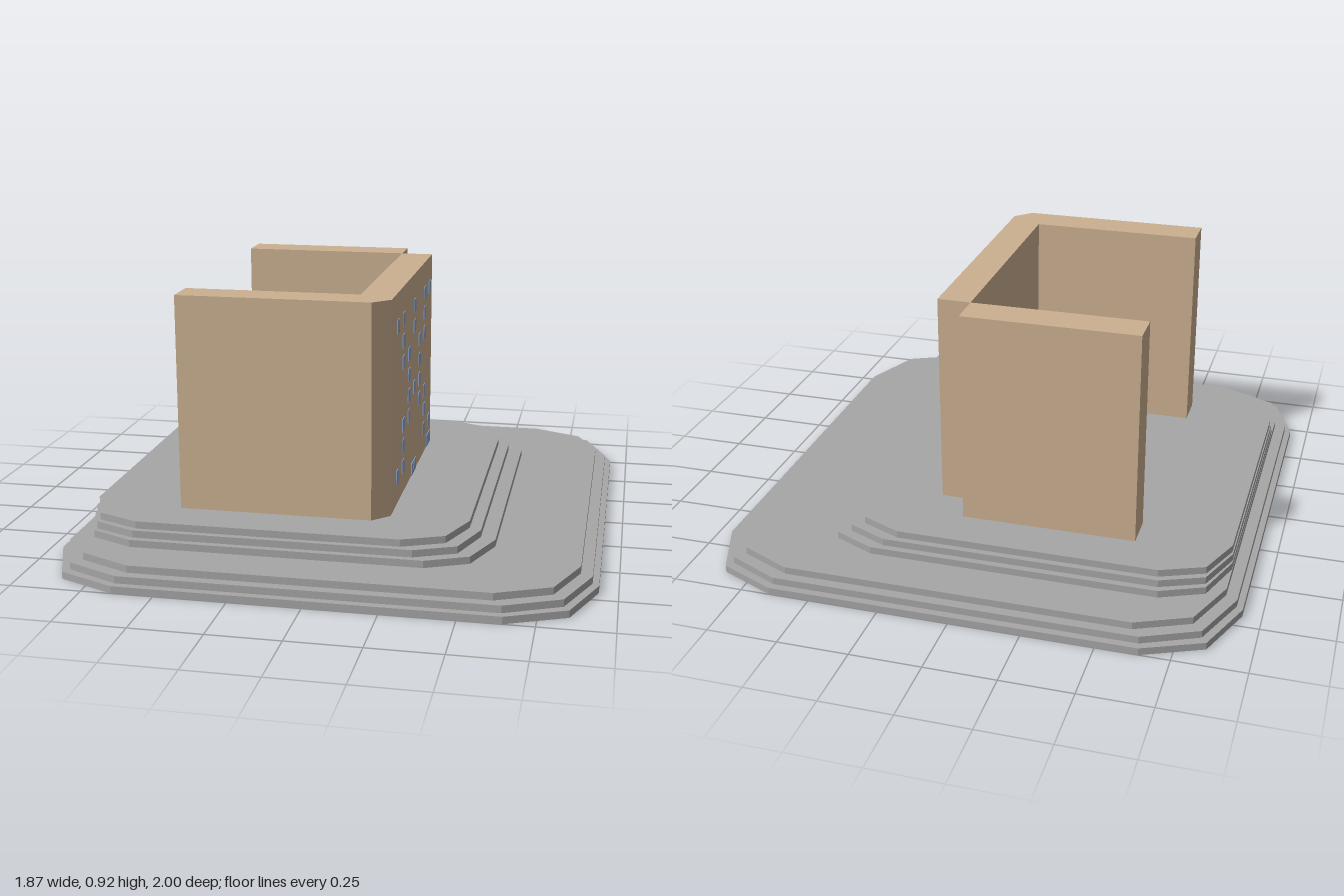
import * as THREE from 'three';

const STEP = 0.0255;
const GROUND = STEP * 6;
const ROOF = 0.92;

// Upright prism from a plan of [x, z] corners
function prism(name, plan, y0, y1, material) {
  const shape = new THREE.Shape(plan.map(([x, z]) => new THREE.Vector2(x, -z)));
  const geometry = new THREE.ExtrudeGeometry(shape, { depth: y1 - y0, bevelEnabled: false });
  geometry.rotateX(-Math.PI / 2).translate(0, y0, 0);
  const mesh = new THREE.Mesh(geometry, material);
  mesh.name = name;
  return mesh;
}

// Mirrors the back half of a terrace outline (left to right) to the front
const terrace = (half) => [...half, ...half.map(([x, z]) => [x, -z]).reverse()];

export function createModel() {
  const model = new THREE.Group();
  model.name = 'buildingOnTerraces';

  const stone = new THREE.MeshStandardMaterial({ color: 0xa6a6a6 });
  stone.name = 'grey stone';
  const wall = new THREE.MeshStandardMaterial({ color: 0xcbb091 });
  wall.name = 'tan wall';
  const glass = new THREE.MeshStandardMaterial({ color: 0x8aa2ca });
  glass.name = 'blue glass';

  // Three wide lower terraces, symmetric left and right
  const lower = [
    [[0.935, 0.69], [0.85, 0.91], [0.645, 1.0]],
    [[0.913, 0.675], [0.83, 0.885], [0.64, 0.973]],
    [[0.873, 0.655], [0.795, 0.853], [0.61, 0.937]],
  ].map((c) => [...c.map(([x, z]) => [-x, -z]), ...c.map(([x, z]) => [x, -z]).reverse()]);

  // Three smaller upper terraces, set toward one side
  const upper = [
    [[-0.872, -0.53], [-0.81, -0.705], [-0.66, -0.772], [0.36, -0.772], [0.508, -0.705], [0.575, -0.53]],
    [[-0.87, -0.515], [-0.805, -0.685], [-0.655, -0.748], [0.32, -0.748], [0.463, -0.685], [0.523, -0.515]],
    [[-0.866, -0.50], [-0.802, -0.662], [-0.65, -0.725], [0.275, -0.725], [0.42, -0.662], [0.482, -0.50]],
  ];
  [...lower, ...upper].forEach((half, i) =>
    model.add(prism(`terrace${i + 1}`, terrace(half), i * STEP, (i + 1) * STEP, stone)));

  // Building: a back wing, and a main block with a front wing and cut corner
  model.add(prism('backWing', [[-0.538, -0.565], [0.085, -0.565], [0.085, -0.437], [-0.538, -0.437]],
    GROUND, ROOF, wall));
  model.add(prism('mainBlock', [
    [0.085, -0.437], [0.205, -0.437], [0.205, 0.503], [0.147, 0.562],
    [-0.538, 0.562], [-0.538, 0.432], [0.085, 0.432],
  ], GROUND, ROOF, wall));

  // Thin panes on the +x face
  const facade = new THREE.Group();
  facade.name = 'facade';
  function pane(name, z, y, width, height) {
    const mesh = new THREE.Mesh(new THREE.BoxGeometry(0.006, height, width), glass);
    mesh.name = name;
    mesh.position.set(0.205, y, z);
    facade.add(mesh);
  }

  // Window columns per row, from the top down
  const rows = [
    [-3, -2, 0, 2, 3], [-2, 0, 2], [-2, -1, 1, 2], [-1, 1],
    [-1, 0, 1], [-2, -1, 1, 2], [-2, 2], [-3, -2, 2, 3],
  ];
  rows.forEach((columns, r) =>
    columns.forEach((c) => pane('window', c * 0.125, 0.802 - r * 0.078, 0.043, 0.048)));

  // Triple entrance door and a wide side door
  [-0.036, 0, 0.036].forEach((z) => pane('entranceDoor', z, GROUND + 0.024, 0.033, 0.048));
  pane('sideDoor', -0.377, GROUND + 0.024, 0.096, 0.048);
  model.add(facade);

  return model;
}
